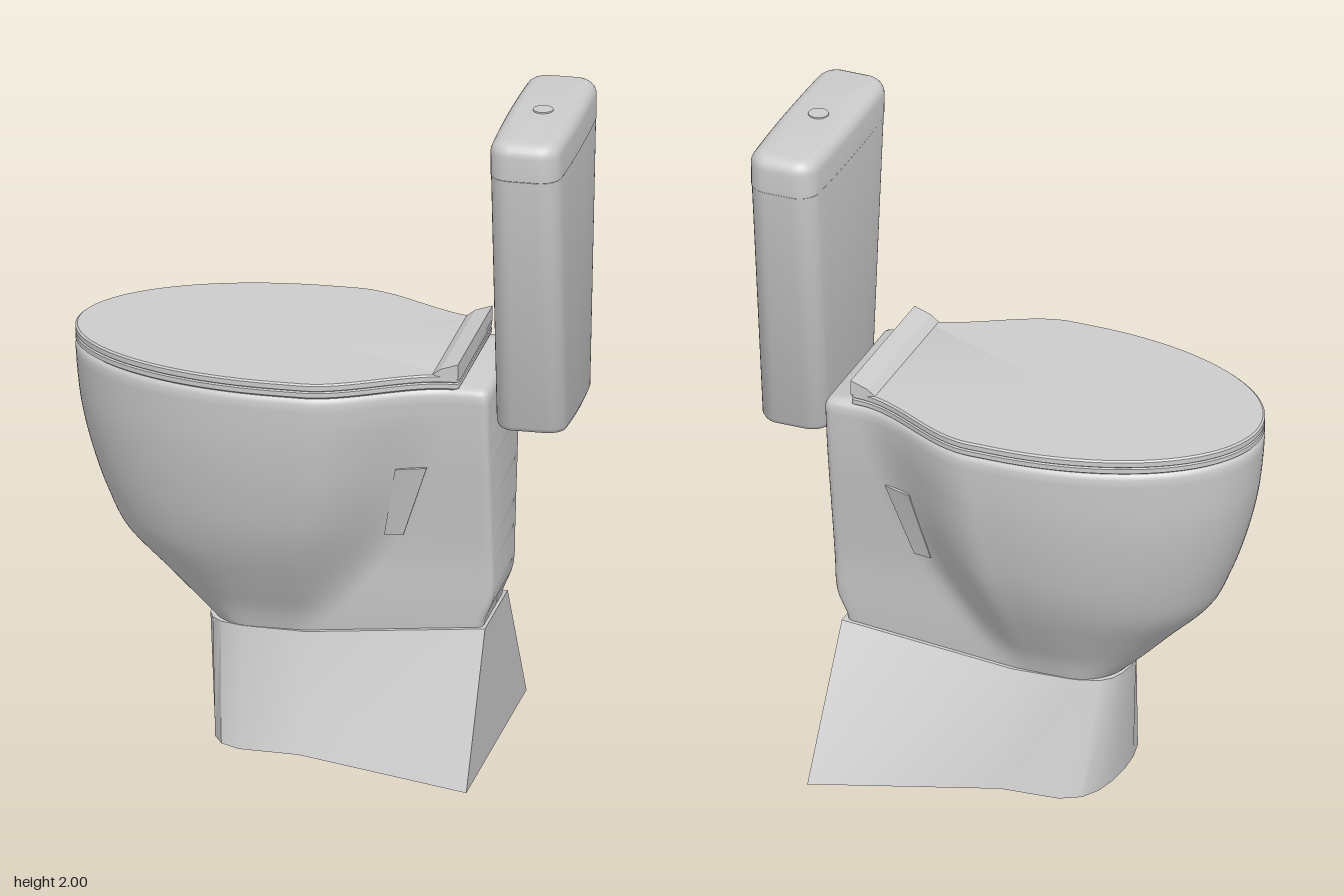
import * as THREE from 'three';
import { toCreasedNormals } from 'three/addons/utils/BufferGeometryUtils.js';

const material = new THREE.MeshStandardMaterial({ color: 0xcccccc });

function addMesh(group, name, geometry) {
  const mesh = new THREE.Mesh(geometry, material);
  mesh.name = name;
  group.add(mesh);
  return mesh;
}

// Closed skin through rings of [x, y, z] points, listed bottom to top, anticlockwise from above
function loft(rings, crease = 0.6) {
  const n = rings[0].length, pos = rings.flat(2), index = [];
  for (let i = 0; i < rings.length - 1; i++) {
    for (let j = 0; j < n; j++) {
      const a = i * n + j, b = i * n + (j + 1) % n;
      index.push(a, b, b + n, a, b + n, a + n);
    }
  }
  [0, rings.length - 1].forEach((r, top) => {
    const c = [0, 1, 2].map(k => rings[r].reduce((s, p) => s + p[k], 0) / n);
    const ci = pos.length / 3;
    pos.push(...c);
    for (let j = 0; j < n; j++) {
      const a = r * n + j, b = r * n + (j + 1) % n;
      if (top) index.push(ci, a, b); else index.push(ci, b, a);
    }
  });
  const g = new THREE.BufferGeometry();
  g.setAttribute('position', new THREE.Float32BufferAttribute(pos, 3));
  g.setIndex(index);
  return toCreasedNormals(g, crease);
}

// Full ring from its +z half, which starts on the centre line at the front
const mirrorHalf = half =>
  half.concat(half.slice(1).reverse().map(([x, y, z]) => [x, y, -z]));

// Bowl levels: front x, half-width, rear half-width, widest x, end of waist, rear x
const levelY = [0.36, 0.42, 0.5, 0.62, 0.72, 0.86, 1.0, 1.1, 1.17];
const levels = [
  [-0.34, 0.142, 0.142, -0.20, 0.00, 0.490],
  [-0.405, 0.165, 0.15, -0.18, 0.05, 0.490],
  [-0.485, 0.210, 0.158, -0.16, 0.11, 0.520],
  [-0.605, 0.275, 0.168, -0.14, 0.20, 0.525],
  [-0.655, 0.318, 0.182, -0.12, 0.26, 0.525],
  [-0.705, 0.358, 0.204, -0.10, 0.33, 0.525],
  [-0.738, 0.385, 0.225, -0.09, 0.38, 0.525],
  [-0.750, 0.397, 0.236, -0.08, 0.41, 0.525],
  [-0.755, 0.402, 0.242, -0.08, 0.42, 0.525],
];
const levelCurve = new THREE.CubicInterpolant(levelY, levels.flat(), 6);
const levelAt = y => Array.from(levelCurve.evaluate(y));

function halfWidth(x, [xf, w, b, xw, xe]) {
  if (x < xw) return w * Math.sqrt(Math.max(0, 1 - ((xw - x) / (xw - xf)) ** 2));
  return THREE.MathUtils.lerp(w, b, THREE.MathUtils.smoothstep(x, xw + 0.08, xe));
}

// Egg-shaped front, waist and squared rear at height y
function bowlRing(y, level, inset = 0, r = 0.02) {
  const [xf, w, b, xw, xe, xb] = level;
  const l = [xf + inset, w - inset, b - inset, xw, xe, xb - inset];
  const half = [], end = l[5] - r;
  for (let i = 0; i < 28; i++) {
    const x = xw - (xw - l[0]) * Math.cos(i / 28 * Math.PI / 2);
    half.push([x, y, i ? halfWidth(x, l) : 0]);
  }
  for (let i = 0; i < 28; i++) {
    const x = xw + (end - xw) * i / 28;
    half.push([x, y, halfWidth(x, l)]);
  }
  const z = halfWidth(end, l) - r;
  for (let i = 0; i <= 4; i++) {
    const a = i / 4 * Math.PI / 2;
    half.push([end + r * Math.sin(a), y, z + r * Math.cos(a)]);
  }
  return mirrorHalf(half);
}

// Rounded rectangle with slightly bowed long sides, for the cistern
function tankRing(y, hx, hz, r) {
  const ring = [], cx = 0.64, cz = -0.006, bow = 0.008;
  const corners = [[1, 1], [1, -1], [-1, -1], [-1, 1]];
  const put = (x, z) =>
    ring.push([cx + x + Math.sign(x) * bow * (1 - (z / hz) ** 2), y, cz + z]);
  corners.forEach(([sx, sz], k) => {
    for (let i = 0; i <= 8; i++) {
      const a = (k - 1 + i / 8) * Math.PI / 2;
      put(sx * (hx - r) + r * Math.cos(a), sz * (hz - r) - r * Math.sin(a));
    }
    // points along the long sides carry the bow
    if (sx === sz) for (let i = 1; i < 8; i++) put(sx * hx, sz * (hz - r) * (1 - i / 4));
  });
  return ring;
}

export function createModel() {
  const group = new THREE.Group();
  group.name = 'toilet';

  // Plinth: flared tail with a rounded nose
  const foot = [[-0.33, 0], [-0.325, 0.08], [-0.31, 0.15], [-0.28, 0.205], [-0.22, 0.24], [-0.04, 0.25], [0.5, 0.425]];
  const neck = [[-0.35, 0], [-0.345, 0.05], [-0.33, 0.09], [-0.30, 0.12], [-0.23, 0.142], [-0.04, 0.152], [0.5, 0.16]];
  addMesh(group, 'plinth', loft([
    mirrorHalf(foot.map(([x, z]) => [x, x > 0.4 ? 0 : 0.01, z])),
    mirrorHalf(neck.map(([x, z]) => [x, 0.36 + 0.055 * Math.max(0, (x + 0.04) / 0.54), z])),
  ], 0.55));

  // Bowl with its rear column and rounded rim
  const bowlRings = [];
  for (let i = 0; i <= 32; i++) {
    const y = 0.36 + 0.81 * i / 32;
    bowlRings.push(bowlRing(y, levelAt(y)));
  }
  const rim = levels[levels.length - 1];
  bowlRings.push(bowlRing(1.183, rim, 0.005), bowlRing(1.19, rim, 0.015));
  addMesh(group, 'bowl', loft(bowlRings, 0.8));

  // Seat and closed lid
  const cover = [...rim.slice(0, 5), 0.437];
  addMesh(group, 'seat', loft([
    bowlRing(1.186, cover, 0.012, 0.01), bowlRing(1.194, cover, 0, 0.01),
    bowlRing(1.208, cover, 0, 0.01), bowlRing(1.212, cover, 0.006, 0.01),
  ]));
  addMesh(group, 'lid', loft([
    bowlRing(1.211, cover, 0.006, 0.01), bowlRing(1.215, cover, 0, 0.01),
    bowlRing(1.23, cover, 0, 0.01), bowlRing(1.235, cover, 0.006, 0.01),
  ]));

  // Wedge-shaped hinge cover
  const wedge = new THREE.Shape([[0.355, 1.225], [0.437, 1.225], [0.437, 1.272], [0.385, 1.254], [0.36, 1.235]]
    .map(p => new THREE.Vector2(...p)));
  const hinge = new THREE.ExtrudeGeometry(wedge, { depth: 0.49, bevelEnabled: false });
  addMesh(group, 'hingeCover', hinge.translate(0, 0, -0.245));

  // Fixing covers on both flanks, following the bowl surface
  const corners = [[0.205, 0.70], [0.26, 0.70], [0.338, 0.93], [0.25, 0.93]];
  for (const side of [1, -1]) {
    const ring = d => corners.map(([x, y]) => [x, y, halfWidth(x, levelAt(y)) + d]);
    const shell = [ring(-0.03), ring(0.006)];
    const placed = shell.map(r => r.map(([x, y, z]) => [x, y, side * z]));
    if (side < 0) placed.reverse();
    addMesh(group, side > 0 ? 'frontFixingCover' : 'backFixingCover', loft(placed, 0.3));
  }

  // Tapered cistern
  addMesh(group, 'cistern', loft([
    tankRing(1.055, 0.085, 0.19, 0.04), tankRing(1.06, 0.096, 0.203, 0.05),
    tankRing(1.075, 0.102, 0.213, 0.055), tankRing(1.88, 0.102, 0.302, 0.06),
  ], 0.7));

  // Cistern lid with a rounded top edge
  const lidRings = [tankRing(1.882, 0.103, 0.304, 0.06)];
  for (let i = 0; i <= 6; i++) {
    const a = i / 6 * Math.PI / 2, inset = 0.04 * (1 - Math.cos(a));
    lidRings.push(tankRing(1.956 + 0.04 * Math.sin(a), 0.103 - inset, 0.308 - inset, 0.062 - inset));
  }
  addMesh(group, 'cisternLid', loft(lidRings, 0.7));

  // Flush button
  addMesh(group, 'flushButton', new THREE.CylinderGeometry(0.03, 0.032, 0.02, 32)).position.set(0.64, 1.99, 0);

  return group;
}
